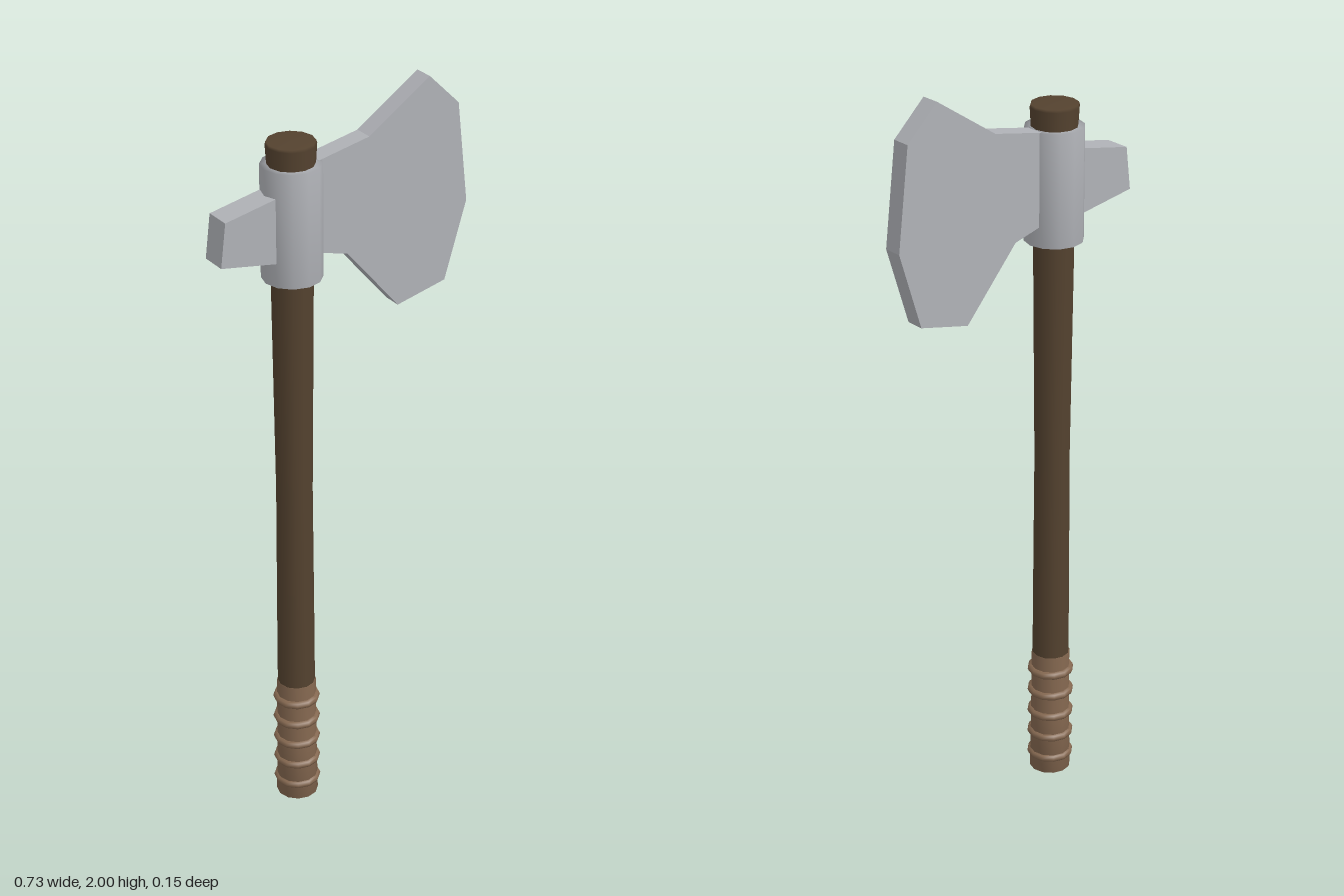
import * as THREE from 'three';

const AXIS = -0.143; // x of the shaft

export function createModel() {
  const group = new THREE.Group();
  const mat = (name, color) => {
    const m = new THREE.MeshStandardMaterial({ color });
    m.name = name;
    return m;
  };
  const wood = mat('dark wood', 0x54422f);
  const leather = mat('leather', 0x856850);
  const steel = mat('steel', 0xb0b2b7);

  const add = (name, geometry, material, x = 0, y = 0) => {
    const mesh = new THREE.Mesh(geometry, material);
    mesh.name = name;
    mesh.position.set(x, y, 0);
    group.add(mesh);
    return mesh;
  };
  const lathe = (points) =>
    new THREE.LatheGeometry(points.map(([r, y]) => new THREE.Vector2(r, y)), 12);
  // Flat plate from a front outline, centred on z = 0
  const plate = (points, depth) => {
    const shape = new THREE.Shape(points.map(([x, y]) => new THREE.Vector2(x, y)));
    return new THREE.ExtrudeGeometry(shape, { depth, bevelEnabled: false })
      .translate(0, 0, -depth / 2);
  };

  // Shaft, slimmer in the middle, with a wider butt above the head
  add('shaft', lathe([
    [0.05, 0.3], [0.049, 0.57], [0.047, 0.95], [0.05, 1.25], [0.053, 1.55],
    [0.059, 1.84], [0.063, 1.905], [0.061, 1.912], [0, 1.912],
  ]), wood, AXIS);

  // Leather grip with raised bands
  add('grip', lathe([[0, 0], [0.056, 0], [0.053, 0.18], [0.052, 0.36], [0.045, 0.362]]), leather, AXIS);
  for (let i = 0; i < 5; i++) {
    const band = add('gripBand' + (i + 1), new THREE.TorusGeometry(0.052, 0.011, 8, 12), leather, AXIS, 0.046 + i * 0.0655);
    band.rotation.x = Math.PI / 2;
  }

  // Axe head: socket around the shaft, blade and rear poll
  add('socket', lathe([[0.045, 1.555], [0.077, 1.555], [0.077, 1.855], [0.045, 1.855]]), steel, AXIS);
  add('blade', plate([
    [-0.09, 1.853], [0.066, 1.883], [0.243, 2.0], [0.332, 1.912], [0.363, 1.643],
    [0.3, 1.437], [0.156, 1.405], [0.003, 1.587], [-0.09, 1.614],
  ], 0.052), steel);
  add('poll', plate([
    [-0.19, 1.793], [-0.352, 1.762], [-0.366, 1.647], [-0.19, 1.615],
  ], 0.071), steel);

  return group;
}
